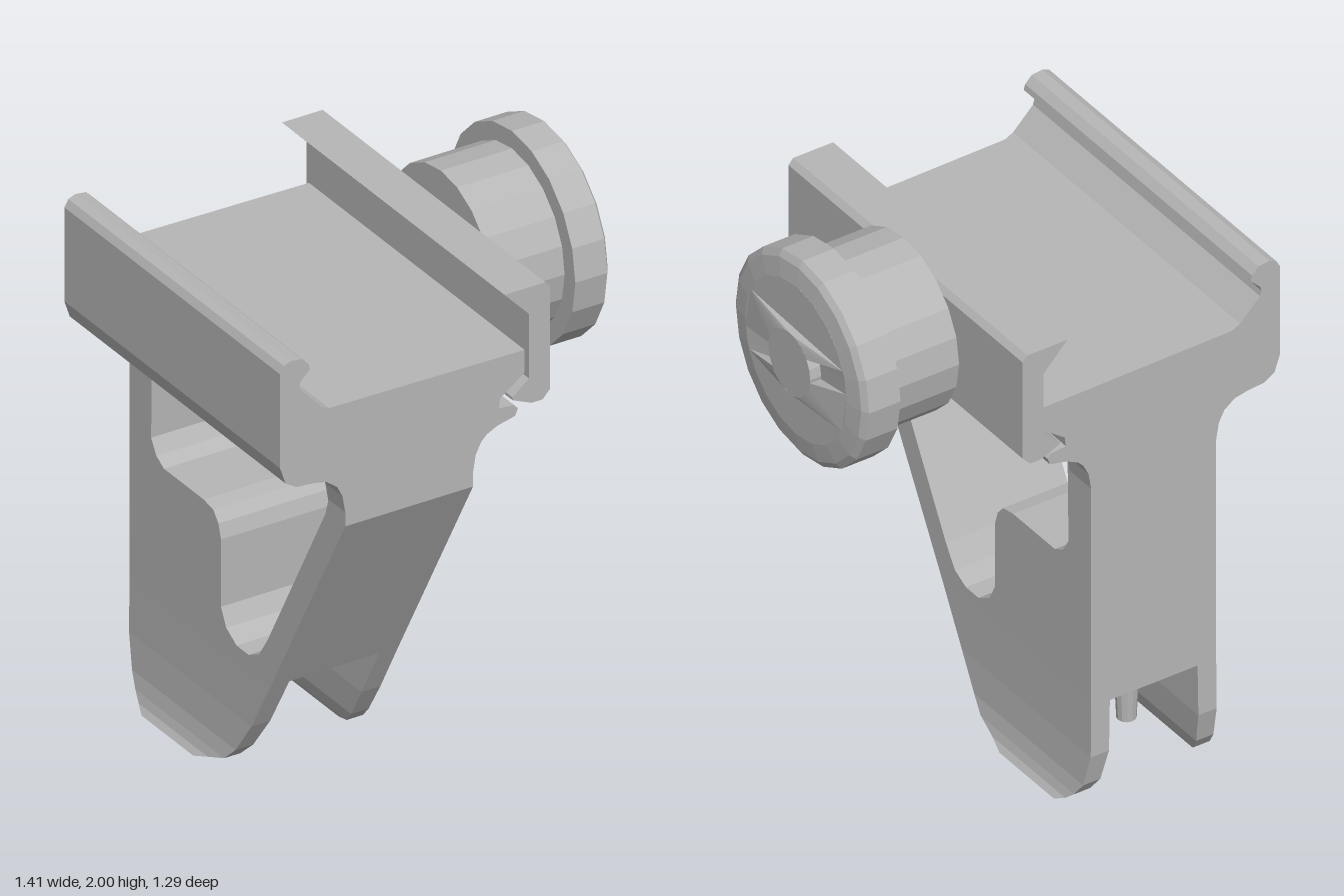
import * as THREE from 'three';

const MID = -0.235; // x of the body's centre plane

export function createModel() {
  const group = new THREE.Group();
  const grey = new THREE.MeshStandardMaterial({ color: 0xb6b6b6 });
  grey.name = 'grey';

  // every surface is faceted
  const add = (name, geometry) => {
    const g = geometry.index ? geometry.toNonIndexed() : geometry;
    g.computeVertexNormals();
    const mesh = new THREE.Mesh(g, grey);
    mesh.name = name;
    group.add(mesh);
    return mesh;
  };
  const vecs = pts => pts.map(([a, b]) => new THREE.Vector2(a, b));
  const extrude = (shape, depth) =>
    new THREE.ExtrudeGeometry(shape, { depth, bevelEnabled: false });
  // front outline (x, y) swept from z0 to z1
  const alongZ = (pts, z0, z1) =>
    extrude(new THREE.Shape(vecs(pts)), z1 - z0).translate(0, 0, z0);

  // deck with the fixed jaw on one edge and a hooked lip on the other
  add('deck', alongZ([
    [0.03, 1.34], [0.05, 1.36], [0.09, 1.38], [0.155, 1.395], [0.165, 1.42],
    [0.15, 1.435], [0.095, 1.44], [0.10, 1.475], [0.19, 1.54], [0.19, 1.62],
    [-0.53, 1.63], [-0.56, 1.645], [-0.635, 1.72], [-0.64, 1.74], [-0.635, 1.755],
    [-0.60, 1.79], [-0.605, 1.81], [-0.63, 1.835], [-0.67, 1.84], [-0.695, 1.83],
    [-0.71, 1.805], [-0.71, 1.47], [-0.69, 1.41], [-0.65, 1.385], [-0.59, 1.38],
    [-0.54, 1.37], [-0.50, 1.34],
  ], -0.63, 0.62));

  // flared necks joining deck and frame at both ends of the opening
  const neck = [[0, 1.24], [0.01, 1.30], [0.03, 1.34], [-0.50, 1.34], [-0.48, 1.30], [-0.47, 1.24]];
  add('frontNeck', alongZ(neck, 0.52, 0.62));
  add('backNeck', alongZ(neck, -0.63, -0.51));

  // movable clamp jaw
  add('clampJaw', alongZ([
    [0.10, 1.855], [0.19, 1.76], [0.19, 1.53], [0.13, 1.48], [0.13, 1.47],
    [0.20, 1.44], [0.24, 1.44], [0.268, 1.47], [0.268, 1.835], [0.25, 1.855],
  ], -0.645, 0.645));

  // frame: side outline in (-z, y) with the large opening
  const side = new THREE.Shape(vecs([
    [-0.186, 0.41], [0.63, 0.41], [0.63, 1.34], [-0.62, 1.34], [-0.62, 1.19],
  ]));
  side.holes.push(new THREE.Path(vecs([
    [-0.43, 1.338], [-0.49, 1.325], [-0.515, 1.28], [-0.52, 1.23], [-0.505, 1.18],
    [-0.17, 0.57], [-0.12, 0.495], [-0.06, 0.465], [0.01, 0.465], [0.07, 0.50],
    [0.10, 0.56], [0.10, 0.80], [0.115, 0.85], [0.145, 0.885], [0.20, 0.895],
    [0.43, 0.895], [0.475, 0.92], [0.505, 0.97], [0.50, 1.27], [0.48, 1.32], [0.43, 1.338],
  ])));
  add('frame', extrude(side, 0.47).rotateY(Math.PI / 2).translate(MID - 0.235, 0, 0));

  // legs: rows of [y, front z, back z, inner offset, outer offset]
  const rows = [
    [0.00, -0.19, -0.49, 0.235, 0.28],
    [0.02, -0.13, -0.53, 0.215, 0.265],
    [0.05, -0.05, -0.565, 0.195, 0.255],
    [0.10, 0.00, -0.60, 0.18, 0.245],
    [0.22, 0.08, -0.63, 0.168, 0.237],
    [0.41, 0.186, -0.63, 0.165, 0.235],
  ];
  for (const s of [-1, 1]) {
    const leg = new THREE.BoxGeometry(1, 1, 1, 1, rows.length - 1, 1);
    const p = leg.attributes.position;
    for (let i = 0; i < p.count; i++) {
      const [y, zf, zb, inner, outer] = rows[Math.round((p.getY(i) + 0.5) * (rows.length - 1))];
      const offset = p.getX(i) * s > 0 ? outer : inner;
      p.setXYZ(i, MID + s * offset, y, p.getZ(i) > 0 ? zf : zb);
    }
    add(s > 0 ? 'leftLeg' : 'rightLeg', leg);
  }

  // small tapered pin between the legs
  add('pin', new THREE.CylinderGeometry(0.042, 0.032, 0.22, 12).translate(MID, 0.305, -0.48));

  // thumb screw turned about the x axis: [radius, x]
  const turned = pts => new THREE.LatheGeometry(vecs(pts), 20).rotateZ(-Math.PI / 2);
  const CY = 1.633;
  add('screwKnob', turned([
    [0, 0.25], [0.1, 0.25], [0.1, 0.275], [0.305, 0.275], [0.305, 0.537], [0.367, 0.537],
    [0.367, 0.655], [0.345, 0.67], [0.28, 0.68], [0.115, 0.664], [0.115, 0.705], [0, 0.705],
  ])).position.y = CY;

  // domed halves of the knob face, leaving the coin slot between them
  const R = 0.28, r = 0.115, half = 0.04;
  const a = Math.asin(half / R), b = Math.asin(half / r);
  const arc = (radius, from, to) => Array.from({ length: 11 }, (_, i) => {
    const t = from + (to - from) * i / 10;
    return [radius * Math.cos(t), radius * Math.sin(t)];
  });
  for (const turn of [0, Math.PI]) {
    const outline = [...arc(R, a, Math.PI - a), ...arc(r, Math.PI - b, b)];
    const dome = extrude(new THREE.Shape(vecs(outline)), 1);
    const p = dome.attributes.position;
    for (let i = 0; i < p.count; i++) {
      const d = Math.hypot(p.getX(i), p.getY(i));
      p.setZ(i, p.getZ(i) > 0.5 ? 0.705 - (d - r) * 0.15 : 0.655);
    }
    dome.rotateZ(0.25 + turn).rotateY(Math.PI / 2);
    add(turn ? 'lowerKnobFace' : 'upperKnobFace', dome).position.y = CY;
  }
  return group;
}
